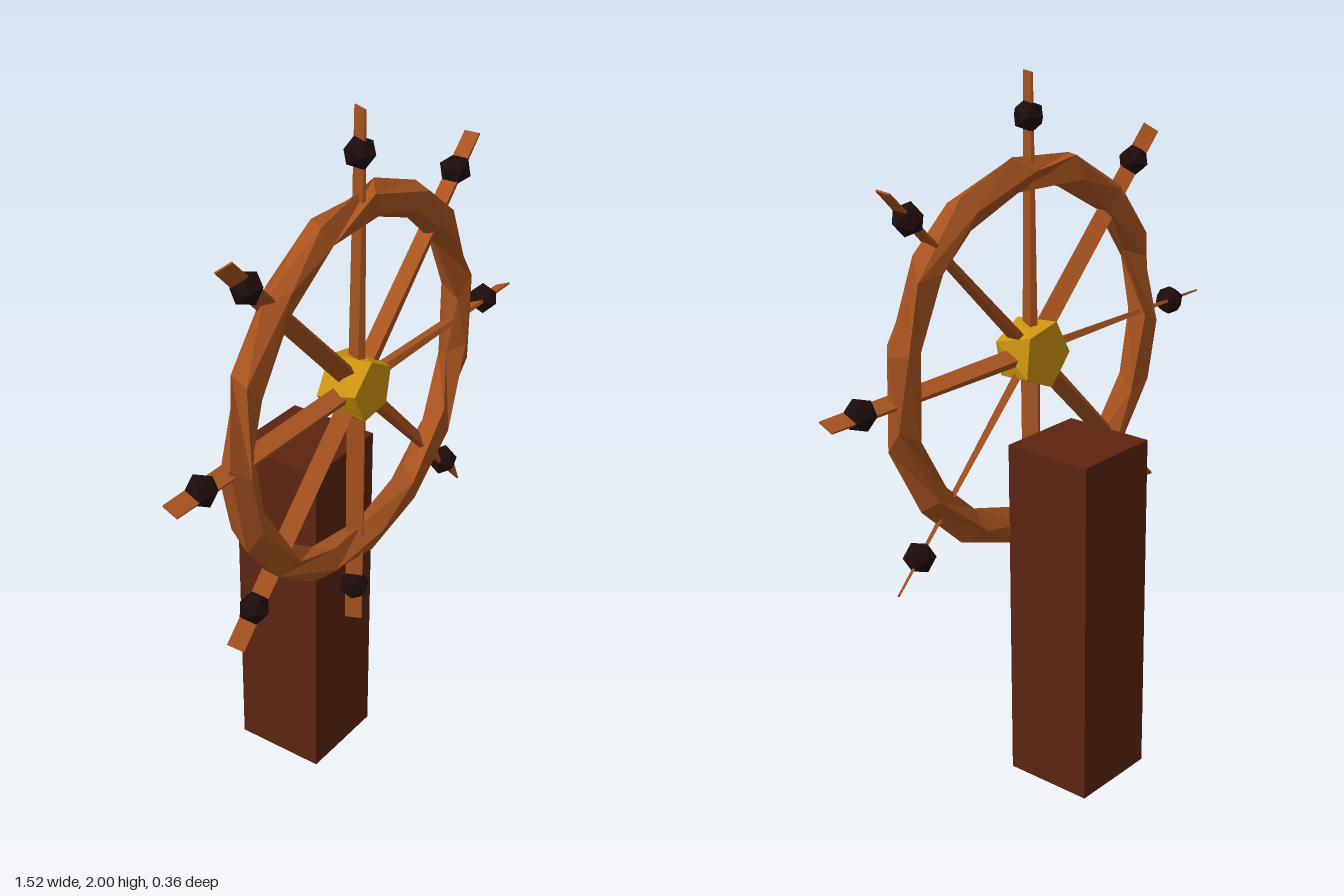
import * as THREE from 'three';

const mat = (name, color) => {
  const m = new THREE.MeshStandardMaterial({ color });
  m.name = name;
  return m;
};

// Unshared vertices give hard, faceted shading
function faceted(geo) {
  const g = geo.index ? geo.toNonIndexed() : geo;
  g.computeVertexNormals();
  return g;
}

function part(name, geo, material, parent) {
  const mesh = new THREE.Mesh(faceted(geo), material);
  mesh.name = name;
  parent.add(mesh);
  return mesh;
}

// Rough-hewn ring: a torus whose five-sided section twists along the way
function rimGeometry() {
  const sides = 5, steps = 15;
  const geo = new THREE.TorusGeometry(0.5, 0.05, sides, steps);
  const pos = geo.attributes.position;
  for (let j = 0; j <= sides; j++) {
    for (let i = 0; i <= steps; i++) {
      const s = i % steps, k = j % sides;
      const u = (s / steps) * Math.PI * 2 + 0.22 + 0.06 * Math.sin(k * 2.3 + s * 1.7);
      const v = (k / sides) * Math.PI * 2 + 0.55 * Math.sin(s * 1.9);
      const r = 0.507 + 0.052 * Math.cos(v);
      pos.setXYZ(j * (steps + 1) + i, r * Math.cos(u), r * Math.sin(u), 0.042 * Math.sin(v));
    }
  }
  return geo;
}

// Flat spoke, thicker at the hub and thin at the tip
function spokeGeometry() {
  const length = 0.76;
  const geo = new THREE.BoxGeometry(0.048, length, 1);
  geo.translate(0, length / 2, 0);
  const pos = geo.attributes.position;
  for (let i = 0; i < pos.count; i++) {
    pos.setZ(i, pos.getZ(i) * (pos.getY(i) > 0.1 ? 0.005 : 0.024));
  }
  return geo;
}

// Five-sided hub, back face slightly twisted
function hubGeometry() {
  const geo = new THREE.CylinderGeometry(0.088, 0.097, 0.115, 5);
  geo.rotateX(Math.PI / 2);
  const pos = geo.attributes.position;
  for (let i = 0; i < pos.count; i++) {
    const a = pos.getZ(i) > 0 ? -0.5 : -0.2;
    const x = pos.getX(i), y = pos.getY(i);
    pos.setX(i, x * Math.cos(a) - y * Math.sin(a));
    pos.setY(i, x * Math.sin(a) + y * Math.cos(a));
  }
  return geo;
}

export function createModel() {
  const wood = mat('oiled wood', 0xa8531f);
  const darkWood = mat('dark wood', 0x5c2410);
  const brass = mat('brass', 0xcc9410);
  const black = mat('blackened grip', 0x1e0c0c);

  const model = new THREE.Group();
  model.name = 'shipWheel';

  // Post
  part('post', new THREE.BoxGeometry(0.27, 1.015, 0.27), darkWood, model)
    .position.set(0, 0.5075, -0.045);

  // Wheel
  const wheel = new THREE.Group();
  wheel.name = 'wheel';
  wheel.position.set(0, 1.24, 0.125);
  model.add(wheel);
  part('rim', rimGeometry(), wood, wheel);
  part('hub', hubGeometry(), brass, wheel).position.z = -0.003;

  // Spokes clockwise from the top, each turned about its own length
  const turns = [1.15, 1.5, 1.15, -0.72, 1.15, 0.97, 1.15, -0.72];
  turns.forEach((turn, i) => {
    const arm = new THREE.Group();
    arm.name = 'arm' + (i + 1);
    arm.rotation.z = -i * Math.PI / 4;
    wheel.add(arm);
    part('spoke', spokeGeometry(), wood, arm).rotation.y = turn;
    const knob = part('knob', new THREE.IcosahedronGeometry(0.045, 0), black, arm);
    knob.position.y = 0.645;
    knob.rotation.y = turn;
  });

  return model;
}
